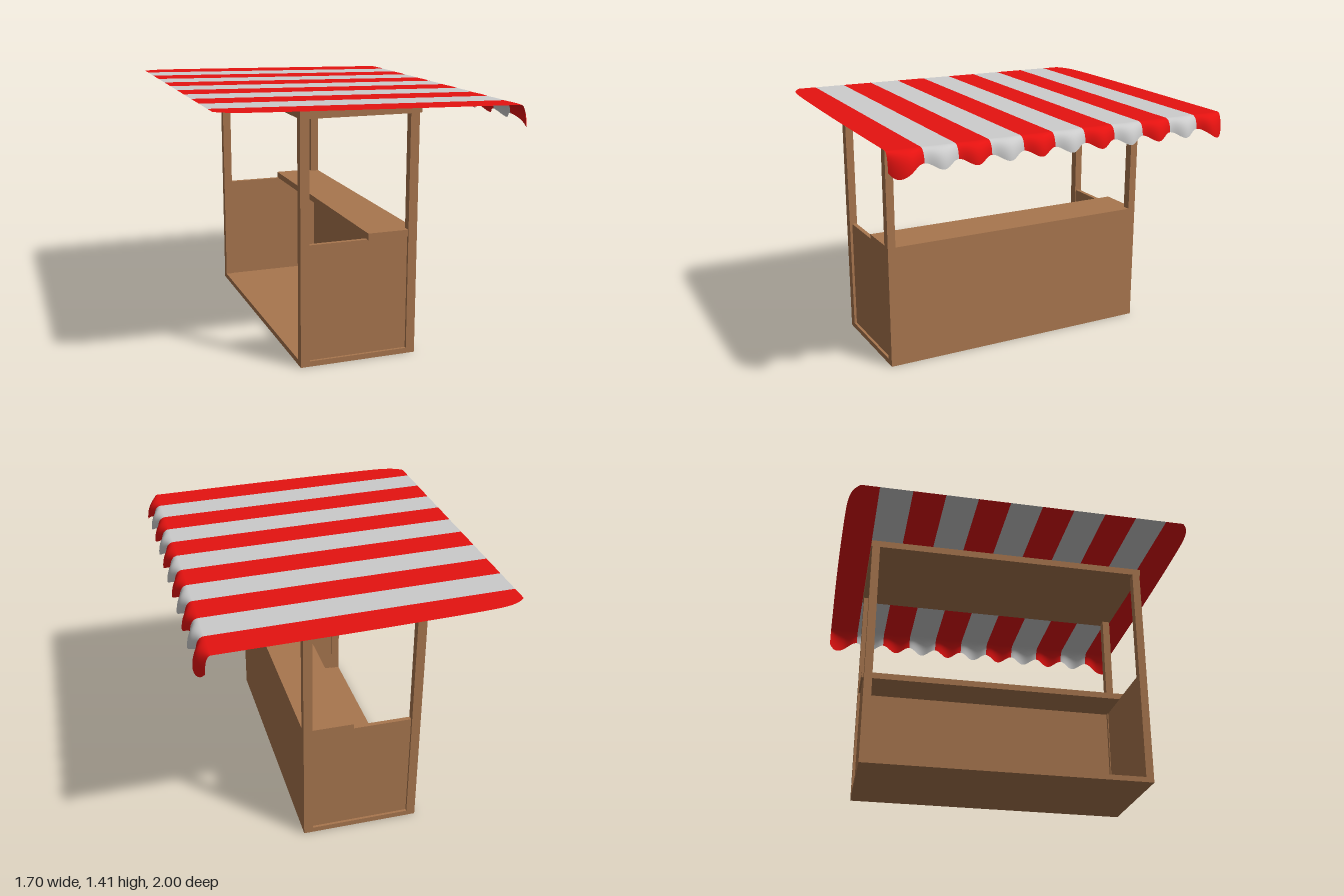
import * as THREE from 'three';
import { ParametricGeometry } from 'three/addons/geometries/ParametricGeometry.js';

const wood = new THREE.MeshStandardMaterial({ color: 0xa8764e });
const red = new THREE.MeshStandardMaterial({ color: 0xe51210, side: THREE.DoubleSide });
const pale = new THREE.MeshStandardMaterial({ color: 0xcccccc, side: THREE.DoubleSide });

// Box given by its low and high corners
function box(parent, name, [x0, y0, z0], [x1, y1, z1]) {
  const mesh = new THREE.Mesh(new THREE.BoxGeometry(x1 - x0, y1 - y0, z1 - z0), wood);
  mesh.position.set((x0 + x1) / 2, (y0 + y1) / 2, (z0 + z1) / 2);
  mesh.name = name;
  parent.add(mesh);
}

const STRIPES = 11, WIDTH = 2 / STRIPES;
const BACK = -0.85, FOLD = 0.77, FOLD_Y = 1.377;

// Half width of the awning, drawn in towards its rounded back corners
function halfWidth(x) {
  const k = Math.max(0, (0.3 - x) / 1.15);
  return 1 - 0.02 * k ** 2 - 0.06 * k ** 20;
}

// Lower edge of the hanging scallops
function hem(z) {
  const a = Math.abs(z), edge = 1 - WIDTH;
  if (a > edge) {
    const w = (a - edge) / WIDTH;
    const wave = (1 - Math.cos(Math.PI * Math.min(1, w / 0.78))) / 2;
    const tail = Math.max(0, (w - 0.78) / 0.22);
    return {
      x: 0.815 + 0.032 * Math.sin(Math.PI * Math.min(w, 0.5)) ** 2 - 0.045 * Math.max(0, (w - 0.5) * 2) ** 2,
      y: 1.305 - 0.06 * wave + 0.03 * tail ** 2,
    };
  }
  const m = (1 + Math.cos((2 * Math.PI * z) / WIDTH)) / 2;
  return { x: 0.815 + 0.03 * m, y: 1.305 - 0.035 * m };
}

// One cloth stripe: a nearly flat top, then a rounded fold into the scallop
function stripe(index) {
  const z0 = -1 + index * WIDTH;
  const TOP = 0.65;
  const surface = (u, v, p) => {
    const z = z0 + u * WIDTH;
    if (v <= TOP) {
      const s = (v / TOP) ** 2;
      const x = BACK + (FOLD - BACK) * s;
      const h = halfWidth(x);
      p.set(x, 1.412 + (FOLD_Y - 1.412) * s, THREE.MathUtils.clamp(z, -h, h));
      // spread the outermost stripe evenly up to the drawn-in edge
      const inner = 1 - WIDTH;
      if (Math.abs(z) > inner) p.z = Math.sign(z) * (inner + (Math.abs(z) - inner) * (h - inner) / WIDTH);
    } else {
      const t = (v - TOP) / (1 - TOP), e = hem(z), q = 1 - t;
      const cx = e.x - 0.005, cy = FOLD_Y - 0.003;
      p.set(
        q * q * FOLD + 2 * q * t * cx + t * t * e.x,
        q * q * FOLD_Y + 2 * q * t * cy + t * t * e.y,
        z,
      );
    }
  };
  const mesh = new THREE.Mesh(new ParametricGeometry(surface, 16, 40), index % 2 ? pale : red);
  mesh.name = index % 2 ? 'paleStripe' : 'redStripe';
  return mesh;
}

export function createModel() {
  const model = new THREE.Group();
  model.name = 'marketStall';

  // Booth, open at the back
  const booth = new THREE.Group();
  booth.name = 'booth';
  model.add(booth);
  box(booth, 'floor', [-0.38, 0, -0.815], [0.28, 0.03, 0.815]);
  box(booth, 'frontWall', [0.25, 0, -0.815], [0.28, 0.69, 0.815]);
  box(booth, 'counter', [0, 0.668, -0.81], [0.28, 0.705, 0.81]);
  for (const side of [-1, 1]) {
    const zs = [0.775 * side, 0.8 * side].sort((a, b) => a - b);
    box(booth, 'endWall', [-0.36, 0.02, zs[0]], [0.26, 0.67, zs[1]]);
    const ps = [0.77 * side, 0.815 * side].sort((a, b) => a - b);
    box(booth, 'backPost', [-0.38, 0, ps[0]], [-0.33, 1.34, ps[1]]);
    box(booth, 'frontPost', [0.23, 0, ps[0]], [0.28, 1.34, ps[1]]);
  }

  // Wooden roof panel under the cloth
  box(model, 'roofPanel', [-0.38, 1.335, -0.82], [0.29, 1.375, 0.82]);

  // Striped awning
  const awning = new THREE.Group();
  awning.name = 'awning';
  for (let i = 0; i < STRIPES; i++) awning.add(stripe(i));
  model.add(awning);

  return model;
}
